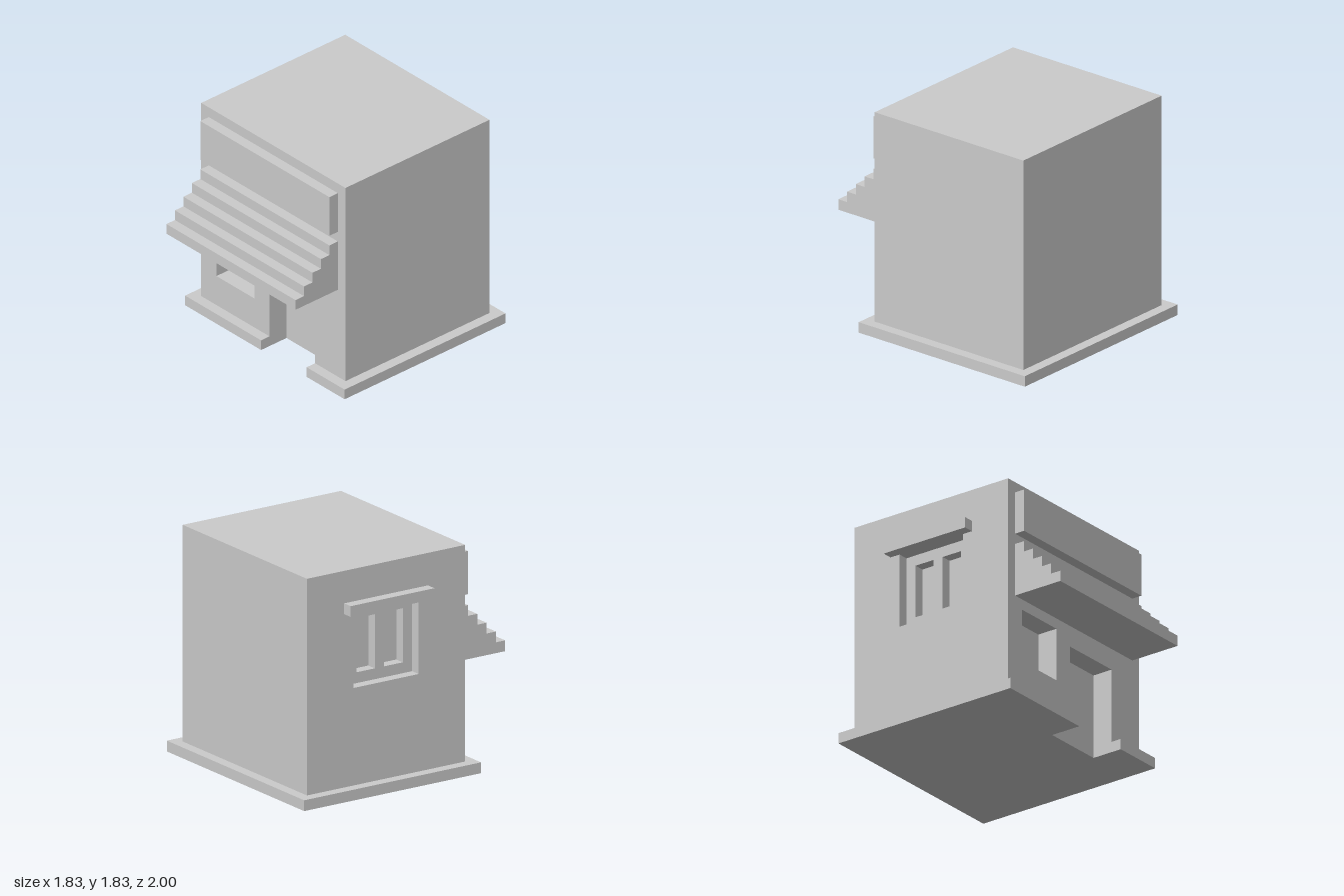
import * as THREE from 'three';

// Everything is laid out on a block grid; one block is U units.
const U = 2 / 23;

export function createModel() {
  const model = new THREE.Group();
  model.name = 'shop';
  const material = new THREE.MeshStandardMaterial({ color: 0xcccccc, flatShading: true });

  const add = (name, geometry) => {
    const mesh = new THREE.Mesh(geometry, material);
    mesh.name = name;
    model.add(mesh);
    return mesh;
  };
  const box = (name, [x0, x1], [y0, y1], [z0, z1]) =>
    add(name, new THREE.BoxGeometry(x1 - x0, y1 - y0, z1 - z0))
      .position.set((x0 + x1) / 2, (y0 + y1) / 2, (z0 + z1) / 2);
  const rect = (x0, x1, y0, y1) => [[x0, y0], [x1, y0], [x1, y1], [x0, y1]];
  const points = (list) => list.map(([x, y]) => new THREE.Vector2(x, y));
  const slab = (name, outline, depth, holes = []) => {
    const shape = new THREE.Shape(points(outline));
    for (const hole of holes) shape.holes.push(new THREE.Path(points(hole)));
    return add(name, new THREE.ExtrudeGeometry(shape, { depth, bevelEnabled: false }));
  };
  // Slab drawn in (z, y) that grows from x towards -x
  const sideSlab = (name, x, outline, depth, holes) => {
    const mesh = slab(name, outline, depth, holes);
    mesh.rotation.y = -Math.PI / 2;
    mesh.position.x = x;
  };

  // Foundation drawn in (x, -z), notched at the doorway
  slab('foundation', [
    [-10.5, -7.5], [-0.5, -7.5], [-0.5, -4.5], [5.5, -4.5], [5.5, -7.5],
    [10.5, -7.5], [10.5, 11.5], [-10.5, 11.5],
  ], 1).rotation.x = -Math.PI / 2;

  // Solid core behind the recessed front and side walls
  box('buildingCore', [-7.5, 9.5], [1, 21], [-10.5, 4.5]);

  // Front wall with doorway and recessed window
  slab('frontWall', [
    [-9.5, 1], [-0.5, 1], [-0.5, 8], [5.5, 8], [5.5, 1], [9.5, 1], [9.5, 21], [-9.5, 21],
  ], 2, [rect(-7.5, -2.5, 4, 9)]).position.z = 4.5;

  // Side wall with framed double window and lintel
  sideSlab('sideWall', -7.5, rect(-10.5, 4.5, 1, 21), 2, [rect(-5.5, 1.5, 10, 17)]);
  sideSlab('sideWindowFrame', -7.5, rect(-5.5, 1.5, 10, 17), 1,
    [rect(-4.5, -2.5, 11, 16), rect(-1.5, 0.5, 11, 16)]);
  box('sideWindowLintel', [-10.5, -9.5], [17, 18], [-6.5, 2.5]);

  // Stepped awning and sign board
  const steps = [[6.5, 10]];
  for (let i = 0; i < 5; i++) steps.push([11.5 - i, 10 + i], [11.5 - i, 11 + i]);
  steps.push([6.5, 15]);
  sideSlab('awning', 8.5, steps, 17);
  box('signBoard', [-8.5, 8.5], [16, 20], [6.5, 7.5]);

  model.scale.setScalar(U);
  return model;
}
